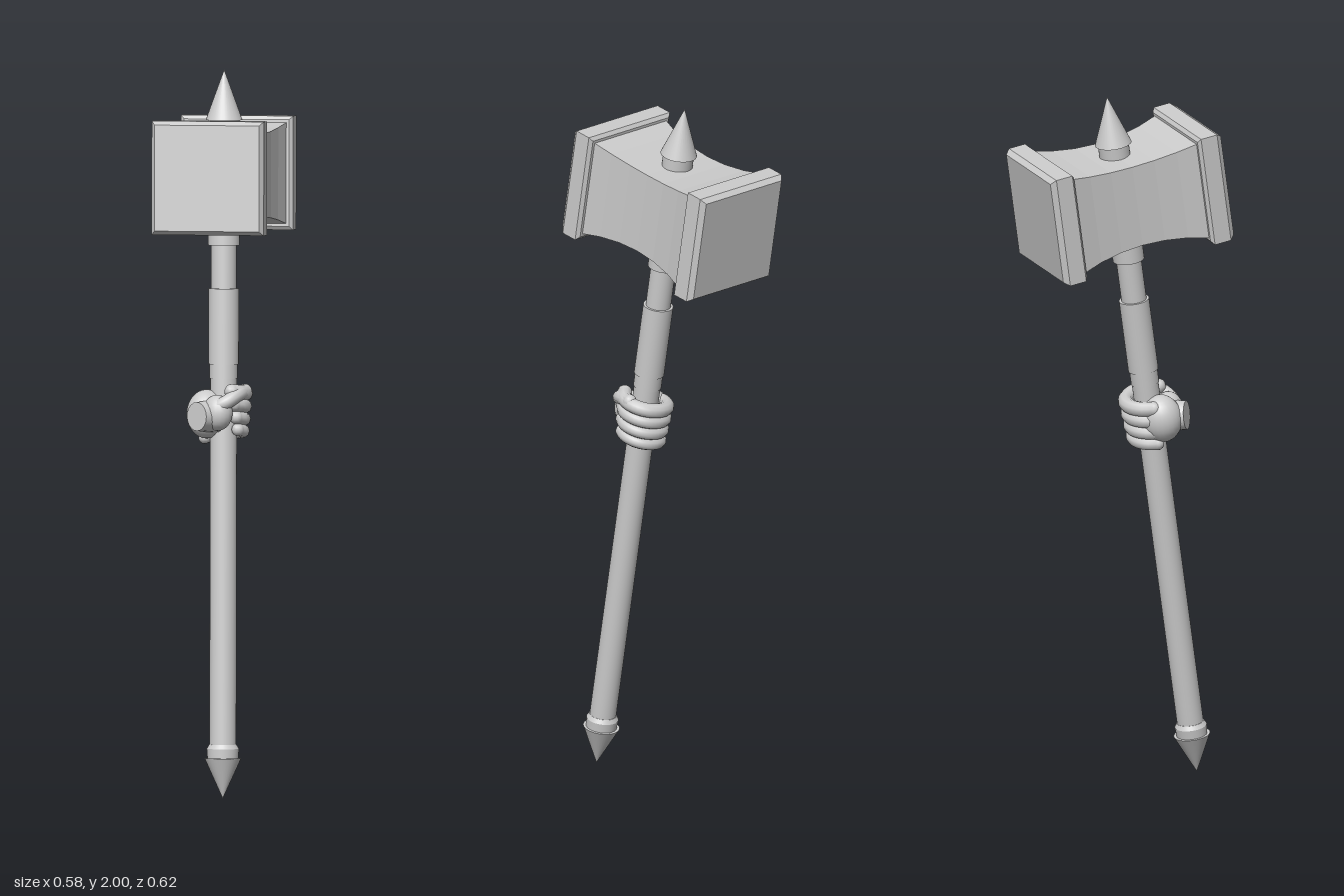
import * as THREE from 'three';

const smooth = new THREE.MeshStandardMaterial({ color: 0xcccccc });
const flat = new THREE.MeshStandardMaterial({ color: 0xcccccc, flatShading: true });

function add(parent, name, geometry, material = smooth) {
  const mesh = new THREE.Mesh(geometry, material);
  mesh.name = name;
  parent.add(mesh);
  return mesh;
}

// Surface of revolution; sides = 4 gives a square section of half-width r
function turned(points, sides) {
  const k = sides === 4 ? Math.SQRT2 : 1;
  const profile = points.map(([r, y]) => new THREE.Vector2(r * k, y));
  return new THREE.LatheGeometry(profile, sides, Math.PI / 4);
}

// Truncated cone standing between two heights on the handle axis
function rod(parent, name, y0, y1, r0, r1 = r0) {
  add(parent, name, new THREE.CylinderGeometry(r1, r0, y1 - y0, 32)).position.y = (y0 + y1) / 2;
}

// Rounded finger: a tube with ball ends
function digit(parent, name, points, radius) {
  const curve = new THREE.CatmullRomCurve3(points);
  const group = new THREE.Group();
  group.name = name;
  add(group, name + 'Body', new THREE.TubeGeometry(curve, 24, radius, 10));
  for (const p of [points[0], points[points.length - 1]]) {
    add(group, name + 'End', new THREE.SphereGeometry(radius, 12, 8)).position.copy(p);
  }
  parent.add(group);
}

function buildHead() {
  const head = new THREE.Group();
  head.name = 'hammerHead';
  // Waisted square core, lying along z
  const waist = [];
  for (let i = 0; i <= 6; i++) {
    const t = i / 3 - 1;
    waist.push([0.117 + 0.025 * t * t, 0.2 * t]);
  }
  add(head, 'headCore', turned(waist, 4), flat).rotation.x = Math.PI / 2;
  // Striking plates with chamfered rims
  const plate = [[0, 0.19], [0.148, 0.19], [0.158, 0.198], [0.158, 0.247], [0.147, 0.262], [0, 0.262]];
  for (const side of [1, -1]) {
    add(head, 'strikingPlate', turned(plate, 4), flat).rotation.x = side * Math.PI / 2;
  }
  return head;
}

function buildHand() {
  const hand = new THREE.Group();
  hand.name = 'grippingHand';
  // Palm and back of the hand
  const palm = add(hand, 'palm', new THREE.SphereGeometry(1, 24, 16));
  palm.scale.set(0.055, 0.068, 0.058);
  palm.position.set(-0.025, 0, 0.04);
  const heel = add(hand, 'thumbHeel', new THREE.SphereGeometry(1, 20, 14));
  heel.scale.set(0.045, 0.05, 0.04);
  heel.position.set(0.03, 0.005, 0.05);
  // Cut wrist facing forward
  const wrist = add(hand, 'wrist', new THREE.CylinderGeometry(0.04, 0.046, 0.07, 20));
  wrist.rotation.x = Math.PI / 2;
  wrist.position.set(0.005, -0.005, 0.07);
  // Four fingers curled round the handle
  [0.052, 0.016, -0.02, -0.054].forEach((y, i) => {
    const R = 0.061 - 0.002 * i;
    const points = [];
    for (let k = 0; k <= 8; k++) {
      const a = -0.5 + k * (0.5 - 0.018 * i);
      points.push(new THREE.Vector3(-R * Math.cos(a), y + 0.003 * k - 0.012, -R * Math.sin(a)));
    }
    digit(hand, 'finger', points, 0.021 - 0.001 * i);
  });
  // Thumb crossing over the fingertips
  digit(hand, 'thumb', [[0.03, 0.015, 0.07], [0.062, 0.035, 0.045], [0.068, 0.055, 0.01],
    [0.05, 0.064, -0.035]].map((p) => new THREE.Vector3(...p)), 0.02);
  return hand;
}

export function createModel() {
  const model = new THREE.Group();
  model.name = 'warHammer';

  // Leaning frame: y runs up the handle, z along the head
  const hammer = new THREE.Group();
  hammer.name = 'hammer';
  const up = new THREE.Vector3(-0.22, 2, -0.206).normalize();
  const across = new THREE.Vector3(0.796, 0.026, -0.605);
  const along = across.clone().cross(up).normalize();
  across.crossVectors(up, along);
  hammer.quaternion.setFromRotationMatrix(new THREE.Matrix4().makeBasis(across, up, along));
  hammer.position.set(0.185, 0, 0.178);
  model.add(hammer);

  // Pommel
  rod(hammer, 'pommelSpike', 0, 0.112, 0, 0.051);
  rod(hammer, 'pommelRing', 0.112, 0.138, 0.043, 0.045);
  rod(hammer, 'pommelRim', 0.138, 0.15, 0.045, 0.038);
  // Handle
  rod(hammer, 'lowerShaft', 0.13, 1.2, 0.037);
  rod(hammer, 'sleeveRing', 1.165, 1.205, 0.039);
  rod(hammer, 'gripSleeve', 1.205, 1.415, 0.042);
  rod(hammer, 'upperShaft', 1.4, 1.66, 0.035);
  rod(hammer, 'headCollar', 1.535, 1.65, 0.044);

  const head = buildHead();
  head.position.y = 1.729;
  hammer.add(head);

  // Top spike
  rod(hammer, 'spikeNeck', 1.8, 1.882, 0.043);
  rod(hammer, 'topSpike', 1.882, 2.022, 0.051, 0);

  const hand = buildHand();
  hand.position.y = 1.067;
  hand.rotation.y = -0.65;
  hammer.add(hand);
  return model;
}
